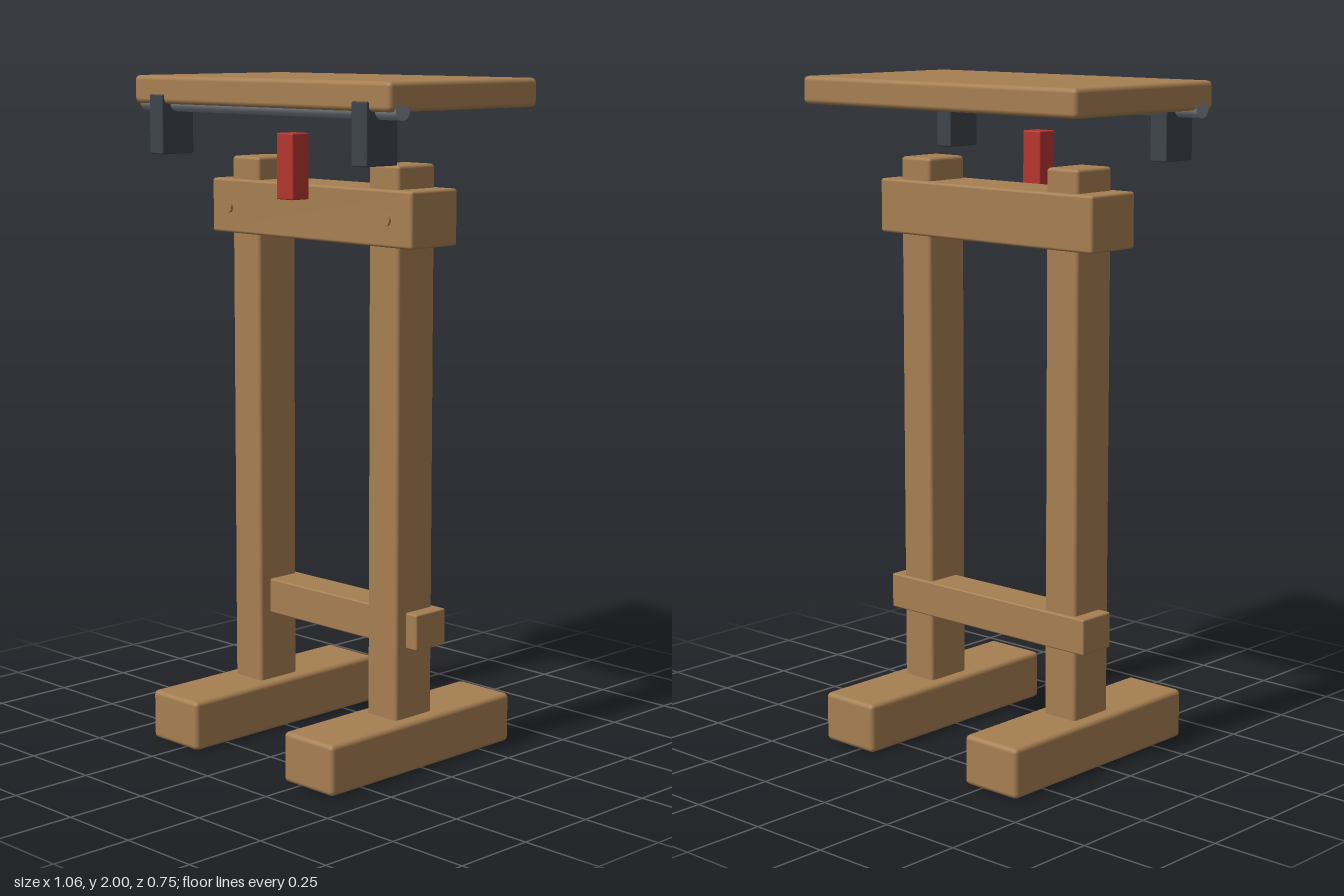
import * as THREE from 'three';
import { RoundedBoxGeometry } from 'three/addons/geometries/RoundedBoxGeometry.js';

const material = (name, color) => {
  const m = new THREE.MeshStandardMaterial({ color });
  m.name = name;
  return m;
};

export function createModel() {
  const model = new THREE.Group();
  model.name = 'workStand';
  const wood = material('wood', 0xa67f52);
  const darkSteel = material('dark steel', 0x3d444b);
  const steel = material('steel', 0x7d838c);
  const red = material('red paint', 0xb5352f);

  // Softened block given by its extents on each axis
  const block = (name, mat, [x0, x1], [y0, y1], [z0, z1], radius) => {
    const mesh = new THREE.Mesh(
      new RoundedBoxGeometry(x1 - x0, y1 - y0, z1 - z0, 2, radius), mat);
    mesh.position.set((x0 + x1) / 2, (y0 + y1) / 2, (z0 + z1) / 2);
    mesh.name = name;
    model.add(mesh);
  };

  const rod = (name, mat, radius, length, sides, x, y, z) => {
    const mesh = new THREE.Mesh(
      new THREE.CylinderGeometry(radius, radius, length, sides), mat);
    mesh.position.set(x, y, z);
    mesh.name = name;
    model.add(mesh);
    return mesh;
  };

  // Table top, cross beam and low stretcher
  block('tableTop', wood, [-0.532, 0.532], [1.918, 2], [-0.3, 0.3], 0.014);
  block('crossBeam', wood, [-0.417, 0.417], [1.53, 1.692], [-0.094, 0.094], 0.008);
  block('stretcher', wood, [-0.39, 0.39], [0.36, 0.467], [-0.087, 0.035], 0.005);

  // Mirrored feet, posts, clamp brackets and bolt heads
  for (const s of [-1, 1]) {
    const side = s > 0 ? 'left' : 'right';
    const span = (a, b) => (s > 0 ? [a, b] : [-b, -a]);
    block(side + 'Foot', wood, span(0.19, 0.39), [0, 0.15], [-0.376, 0.376], 0.014);
    block(side + 'Post', wood, span(0.23, 0.348), [0.12, 1.76], [-0.075, 0.075], 0.01);
    block(side + 'Bracket', darkSteel, span(0.394, 0.453), [1.77, 1.945], [0.187, 0.308], 0.004);
    rod(side + 'Bolt', wood, 0.016, 0.008, 16, s * 0.33, 1.608, 0.107).rotation.x = Math.PI / 2;
  }

  // Rail under the front edge and the red stop block
  rod('clampRail', steel, 0.028, 1.064, 20, 0, 1.923, 0.25).rotation.z = Math.PI / 2;
  block('stopBlock', red, [-0.034, 0.034], [1.652, 1.842], [0.12, 0.186], 0.004);

  return model;
}
